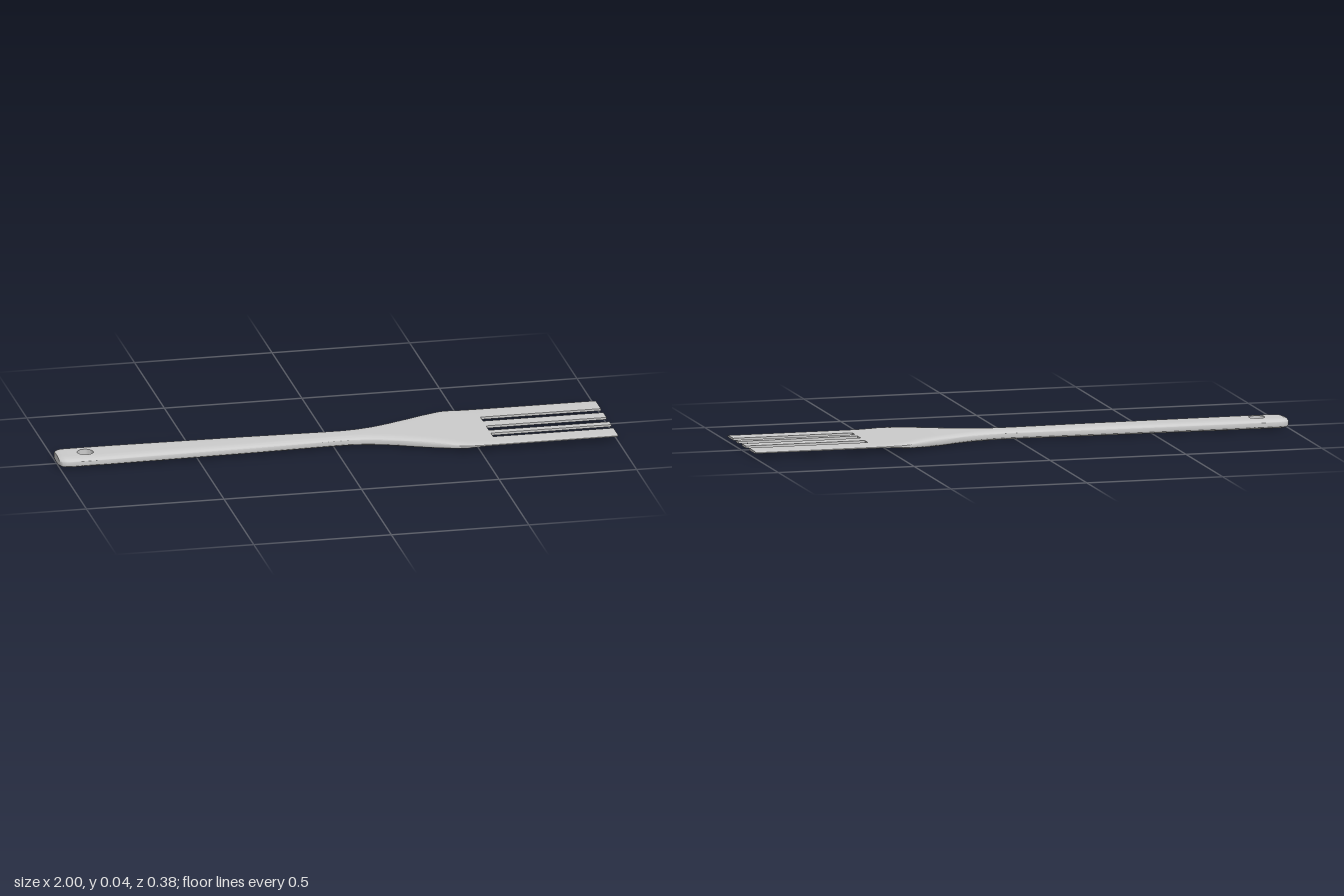
import * as THREE from 'three';
import { mergeGeometries, toCreasedNormals } from 'three/addons/utils/BufferGeometryUtils.js';

// Half width, half thickness and centre height along the length: [x, value]
const WIDTH = [[-1, 0.048], [-0.992, 0.06], [-0.98, 0.067], [-0.96, 0.07], [-0.8, 0.07], [-0.3, 0.06],
  [0, 0.05], [0.05, 0.05], [0.1, 0.055], [0.16, 0.068], [0.22, 0.09], [0.3, 0.124], [0.43, 0.186],
  [0.455, 0.192], [1, 0.192]];
const THICK = [[-1, 0.014], [-0.99, 0.017], [-0.975, 0.018], [0.3, 0.018], [0.36, 0.0165], [0.42, 0.0125],
  [0.48, 0.0075], [0.52, 0.005], [0.56, 0.0045], [1, 0.004]];
const CENTRE = [[-1, 0.018], [0.3, 0.018], [0.5, 0.02], [1, 0.02]];

function sample(keys, x) {
  for (let i = 1; i < keys.length; i++) {
    const [x0, v0] = keys[i - 1], [x1, v1] = keys[i];
    if (x <= x1) return v0 + (v1 - v0) * (x - x0) / (x1 - x0);
  }
  return keys[keys.length - 1][1];
}

// Half thickness at a point, rounded off towards the outer edge
function halfHeight(x, z) {
  const t = THREE.MathUtils.clamp((sample(WIDTH, x) - Math.abs(z)) / 0.04, 0, 1);
  return sample(THICK, x) * (0.38 + 0.62 * Math.sqrt(1 - (1 - t) ** 2));
}

// Loft between two side edges lo(x) and hi(x), with optional end caps
function strip(xs, lo, hi, capStart, capEnd) {
  const N = 24, ring = 2 * (N + 1), pos = [], index = [];
  for (const x of xs) {
    const c = sample(CENTRE, x);
    for (let j = 0; j < ring; j++) {
      const k = j <= N ? j : ring - 1 - j;
      const z = lo(x) + (hi(x) - lo(x)) * (1 - Math.cos(Math.PI * k / N)) / 2;
      pos.push(x, c + (j <= N ? 1 : -1) * halfHeight(x, z), z);
    }
  }
  for (let i = 0; i < xs.length - 1; i++) {
    for (let j = 0; j < ring; j++) {
      const a = i * ring + j, b = i * ring + (j + 1) % ring;
      index.push(a, b, a + ring, b, b + ring, a + ring);
    }
  }
  const last = (xs.length - 1) * ring;
  for (let j = 0; j < N; j++) {
    const t0 = j, t1 = j + 1, b0 = ring - 1 - j, b1 = ring - 2 - j;
    if (capStart) index.push(b0, t1, t0, b0, b1, t1);
    if (capEnd) index.push(last + b0, last + t0, last + t1, last + b0, last + t1, last + b1);
  }
  const g = new THREE.BufferGeometry();
  g.setAttribute('position', new THREE.Float32BufferAttribute(pos, 3));
  g.setIndex(index);
  return g;
}

// Stations between two ends, including every profile key
function stations(x0, x1) {
  const keys = [...WIDTH, ...THICK, ...CENTRE].map(k => k[0]).filter(x => x > x0 && x < x1);
  return [...new Set([x0, ...keys, x1])].sort((a, b) => a - b);
}

export function createModel() {
  const group = new THREE.Group();
  const material = new THREE.MeshStandardMaterial({ color: 0xcccccc });
  const add = (name, geometry) => {
    const mesh = new THREE.Mesh(toCreasedNormals(geometry, 0.6), material);
    mesh.name = name;
    group.add(mesh);
  };
  const right = x => -sample(WIDTH, x), left = x => sample(WIDTH, x);

  // Handle and shoulder, split around the hanging hole
  const hx = -0.896, hr = 0.029, slotX = 0.562;
  const holeXs = Array.from({ length: 17 }, (_, i) => hx - hr * Math.cos(Math.PI * i / 16));
  const holeZ = x => Math.sqrt(Math.max(0, hr * hr - (x - hx) ** 2));
  add('handle', mergeGeometries([
    strip(stations(-1, hx - hr), right, left, true, false),
    strip(holeXs, right, x => -holeZ(x), false, false),
    strip(holeXs, holeZ, left, false, false),
    strip(stations(hx + hr, slotX), right, left, false, true),
  ]));

  // Four tines of uneven width
  const tines = [[-0.192, -0.099], [-0.057, -0.003], [0.044, 0.076], [0.114, 0.192]];
  tines.forEach(([a, b], i) => add('tine' + (i + 1), strip([slotX, 1], () => a, () => b, false, true)));
  return group;
}
